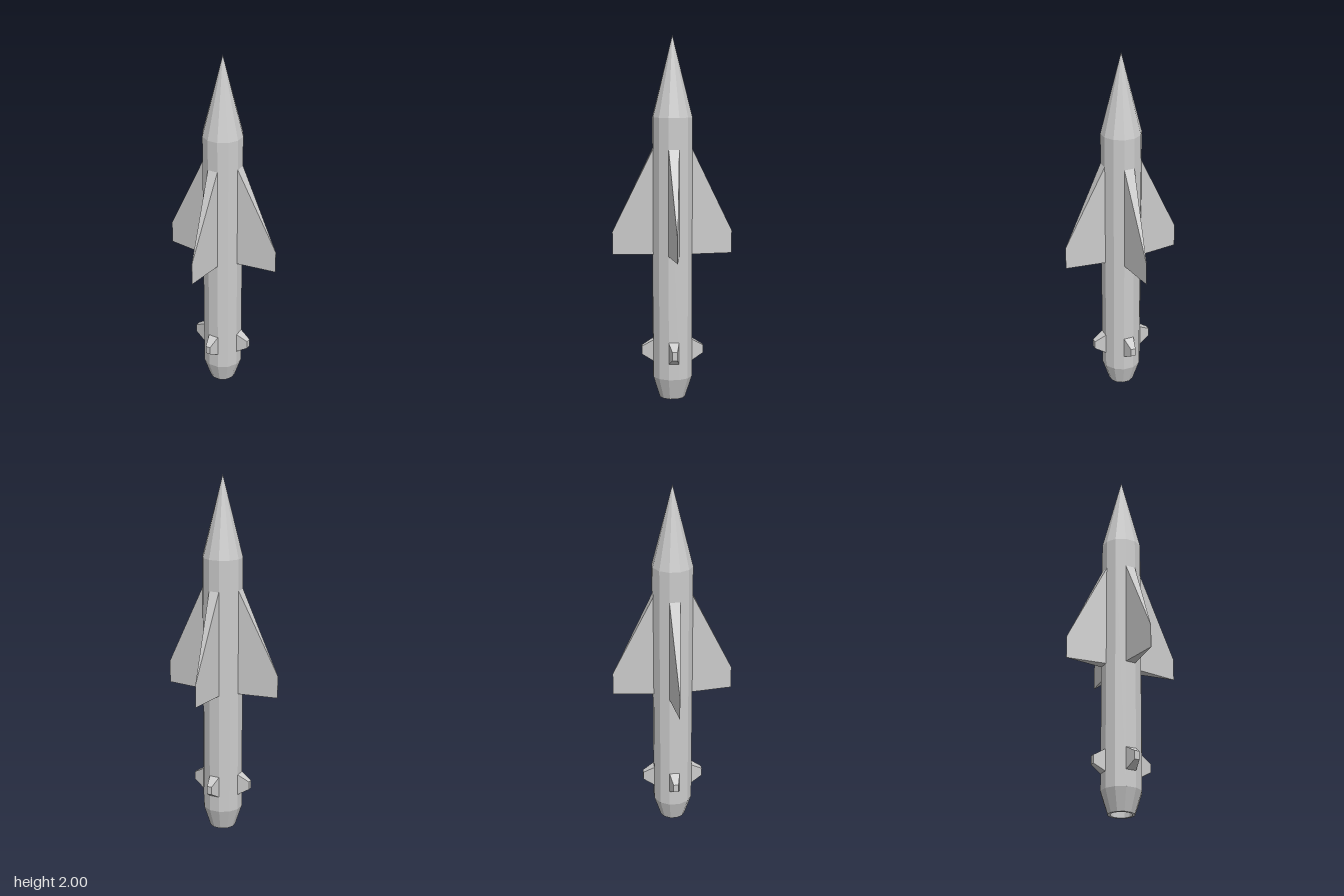
import * as THREE from 'three';

const material = new THREE.MeshStandardMaterial({ color: 0xcccccc, flatShading: true });
const SIDES = 12;
const RADIUS = 0.111;

// Turns a profile of [radius, height] points, listed from the bottom up, into a faceted part
function lathe(name, profile) {
  const points = profile.map(([r, y]) => new THREE.Vector2(r, y));
  const mesh = new THREE.Mesh(new THREE.LatheGeometry(points, SIDES), material);
  mesh.name = name;
  return mesh;
}

// Tapered fin growing along +z from one flat facet of the hull.
// Each end is { z, half: half thickness, low, high }.
function fin(name, root, tip) {
  const geometry = new THREE.BoxGeometry(1, 1, 1);
  const pos = geometry.attributes.position;
  for (let i = 0; i < pos.count; i++) {
    const end = pos.getZ(i) > 0 ? tip : root;
    pos.setXYZ(
      i,
      Math.sign(pos.getX(i)) * end.half,
      pos.getY(i) > 0 ? end.high : end.low,
      end.z
    );
  }
  geometry.computeVertexNormals();
  const mesh = new THREE.Mesh(geometry, material);
  mesh.name = name;
  return mesh;
}

export function createModel() {
  const model = new THREE.Group();
  model.name = 'rocket';

  // Hull: hollow nozzle, tapered tail, straight body and pointed nose
  model.add(
    lathe('nozzle', [[0, 0.12], [0.058, 0.12], [0.058, 0], [0.072, 0]]),
    lathe('tail', [[0.072, 0], [RADIUS, 0.12]]),
    lathe('body', [[RADIUS, 0.12], [RADIUS, 1.56]]),
    lathe('noseCone', [[RADIUS, 1.56], [0, 2]])
  );

  // Distance and half width of a hull facet
  const z = RADIUS * Math.cos(Math.PI / SIDES);
  const half = RADIUS * Math.sin(Math.PI / SIDES);

  // Four large knife-edged wings and four small blunt tail fins on the diagonals
  for (let i = 0; i < 4; i++) {
    const quarter = new THREE.Group();
    quarter.name = `finSet${i + 1}`;
    quarter.rotation.y = Math.PI / 4 + (i * Math.PI) / 2;
    quarter.add(
      fin('wing',
        { z, half, low: 0.81, high: 1.39 },
        { z: 0.33, half: 0.0005, low: 0.81, high: 0.935 }),
      fin('tailFin',
        { z, half, low: 0.21, high: 0.33 },
        { z: 0.17, half: 0.014, low: 0.247, high: 0.293 })
    );
    model.add(quarter);
  }
  return model;
}
